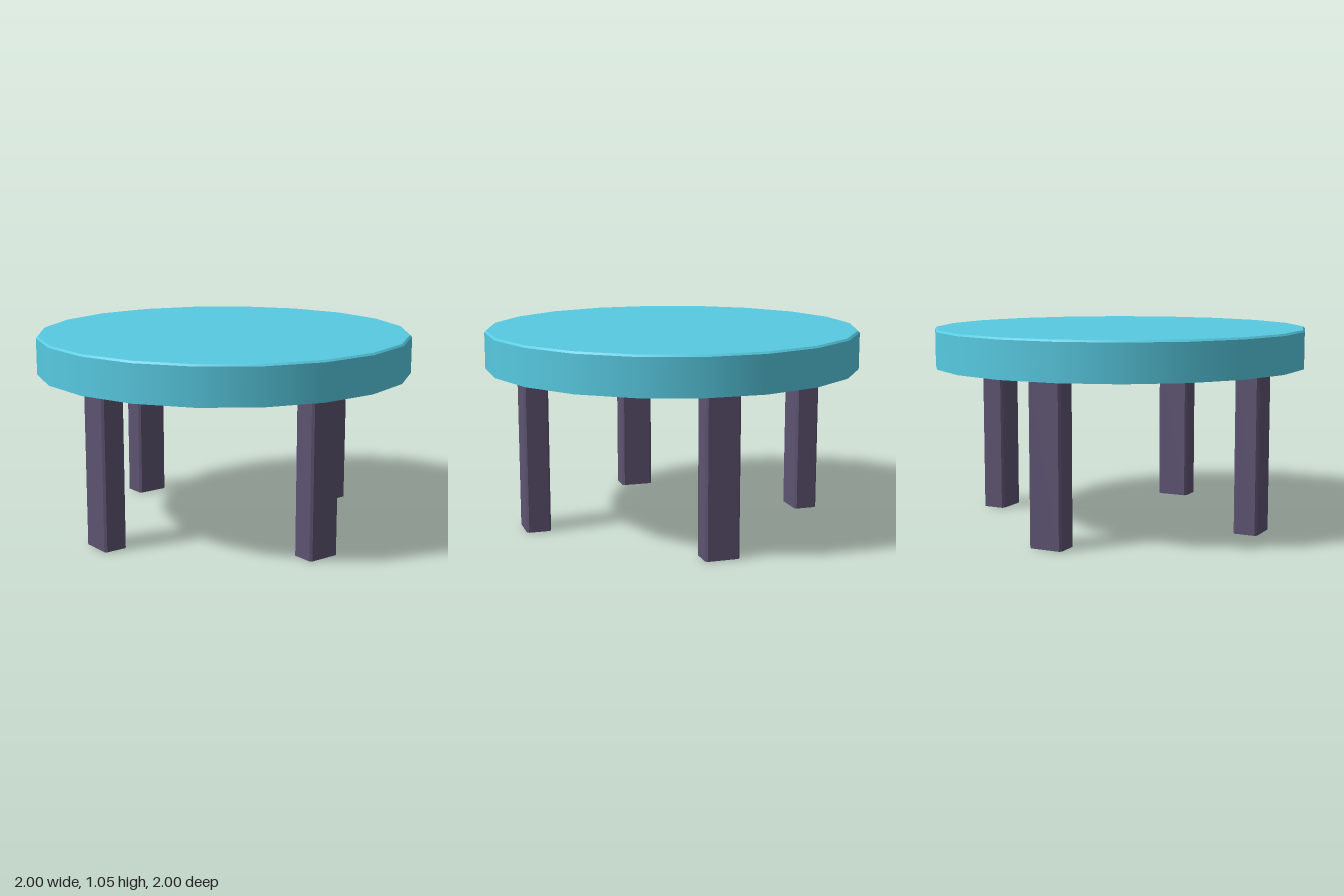
import * as THREE from 'three';

export function createModel() {
  const group = new THREE.Group();
  const cyan = new THREE.MeshStandardMaterial({ color: 0x57cae1, side: THREE.DoubleSide });
  cyan.name = 'cyan top';
  const purple = new THREE.MeshStandardMaterial({ color: 0x5d5371 });
  purple.name = 'dark purple legs';

  const add = (parent, name, geometry, material) => {
    const mesh = new THREE.Mesh(geometry, material);
    mesh.name = name;
    parent.add(mesh);
    return mesh;
  };

  // Round top: a thin twenty-sided shell, open underneath, with a small bevel
  const SIDES = 20;
  const top = new THREE.Group();
  top.name = 'tableTop';
  group.add(top);
  const band = (r0, y0, r1, y1) =>
    new THREE.LatheGeometry([new THREE.Vector2(r0, y0), new THREE.Vector2(r1, y1)], SIDES);
  add(top, 'rim', band(1, 0.85, 1, 1.043), cyan);
  add(top, 'rimBevel', band(1, 1.043, 0.99, 1.053), cyan);
  const disc = new THREE.CircleGeometry(0.99, SIDES).rotateX(-Math.PI / 2);
  add(top, 'surface', disc, cyan).position.y = 1.053;

  // Legs: chamfered rectangular posts turned to face outward along the diagonals
  const w = 0.09, d = 0.065, c = 0.011, height = 0.84;
  const section = new THREE.Shape([
    [w - c, -d], [w, -d + c], [w, d - c], [w - c, d],
    [-w + c, d], [-w, d - c], [-w, -d + c], [-w + c, -d],
  ].map(([x, y]) => new THREE.Vector2(x, y)));
  const legGeometry = new THREE.ExtrudeGeometry(section, { depth: height, bevelEnabled: false });
  legGeometry.rotateX(-Math.PI / 2);
  const names = ['frontLeftLeg', 'backLeftLeg', 'backRightLeg', 'frontRightLeg'];
  names.forEach((name, i) => {
    const angle = Math.PI / 4 + i * Math.PI / 2;
    const leg = add(group, name, legGeometry, purple);
    leg.position.set(Math.sin(angle) * 0.766, 0, Math.cos(angle) * 0.766);
    leg.rotation.y = angle;
  });

  return group;
}
